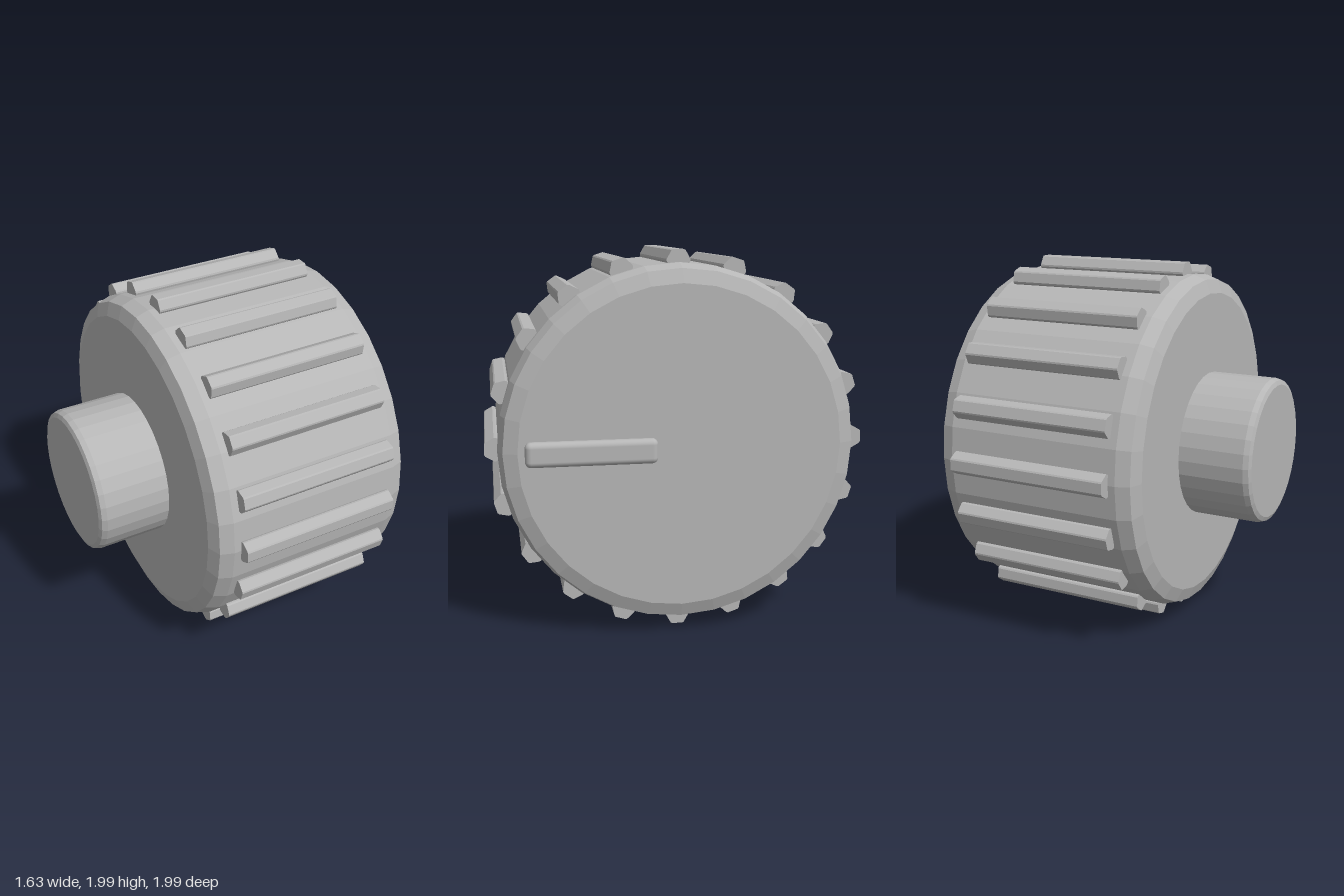
import * as THREE from 'three';
import { RoundedBoxGeometry } from 'three/addons/geometries/RoundedBoxGeometry.js';

const CENTER_Y = 0.995;
const RIDGES = 20;

export function createModel() {
  const model = new THREE.Group();
  model.name = 'controlKnob';
  const grey = new THREE.MeshStandardMaterial({ color: 0xb6b6b6 });
  grey.name = 'grey';

  // Everything turns around the x axis at the knob's centre
  const knob = new THREE.Group();
  knob.name = 'knob';
  knob.position.y = CENTER_Y;
  model.add(knob);

  const add = (name, geometry) => {
    const mesh = new THREE.Mesh(geometry, grey);
    mesh.name = name;
    knob.add(mesh);
    return mesh;
  };

  // Faceted solid of revolution from [radius, x] pairs
  const turned = (profile) => {
    const lathe = new THREE.LatheGeometry(profile.map(([r, x]) => new THREE.Vector2(r, x)), 32);
    lathe.rotateZ(-Math.PI / 2);
    const flat = lathe.toNonIndexed();
    flat.computeVertexNormals();
    return flat;
  };

  // Drum with rounded rims
  add('body', turned([
    [0, -0.42], [0.835, -0.42], [0.908, -0.392], [0.933, -0.32],
    [0.933, 0.65], [0.908, 0.722], [0.835, 0.75], [0, 0.75],
  ]));

  // Shaft at the back of the drum
  add('shaft', turned([
    [0, -0.818], [0.365, -0.818], [0.388, -0.808], [0.398, -0.78], [0.398, -0.4], [0, -0.4],
  ]));

  // Grip ridges: hexagonal bars half sunk in the drum
  const section = new THREE.Shape([
    [-0.04, 0.9], [0.04, 0.9], [0.061, 0.938], [0.061, 0.948],
    [0.036, 0.992], [0.028, 0.997], [-0.028, 0.997], [-0.036, 0.992],
    [-0.061, 0.948], [-0.061, 0.938],
  ].map(([x, y]) => new THREE.Vector2(x, y)));
  const ridge = new THREE.ExtrudeGeometry(section, { depth: 0.895, bevelEnabled: false });
  ridge.rotateY(Math.PI / 2).translate(-0.282, 0, 0);
  for (let i = 0; i < RIDGES; i++) {
    add('gripRidge' + (i + 1), ridge).rotation.x = (i / RIDGES) * Math.PI * 2;
  }

  // Pointer bar on the face
  add('pointer', new RoundedBoxGeometry(0.068, 0.128, 0.665, 3, 0.03))
    .position.set(0.782, 0.003, 0.467);

  return model;
}
